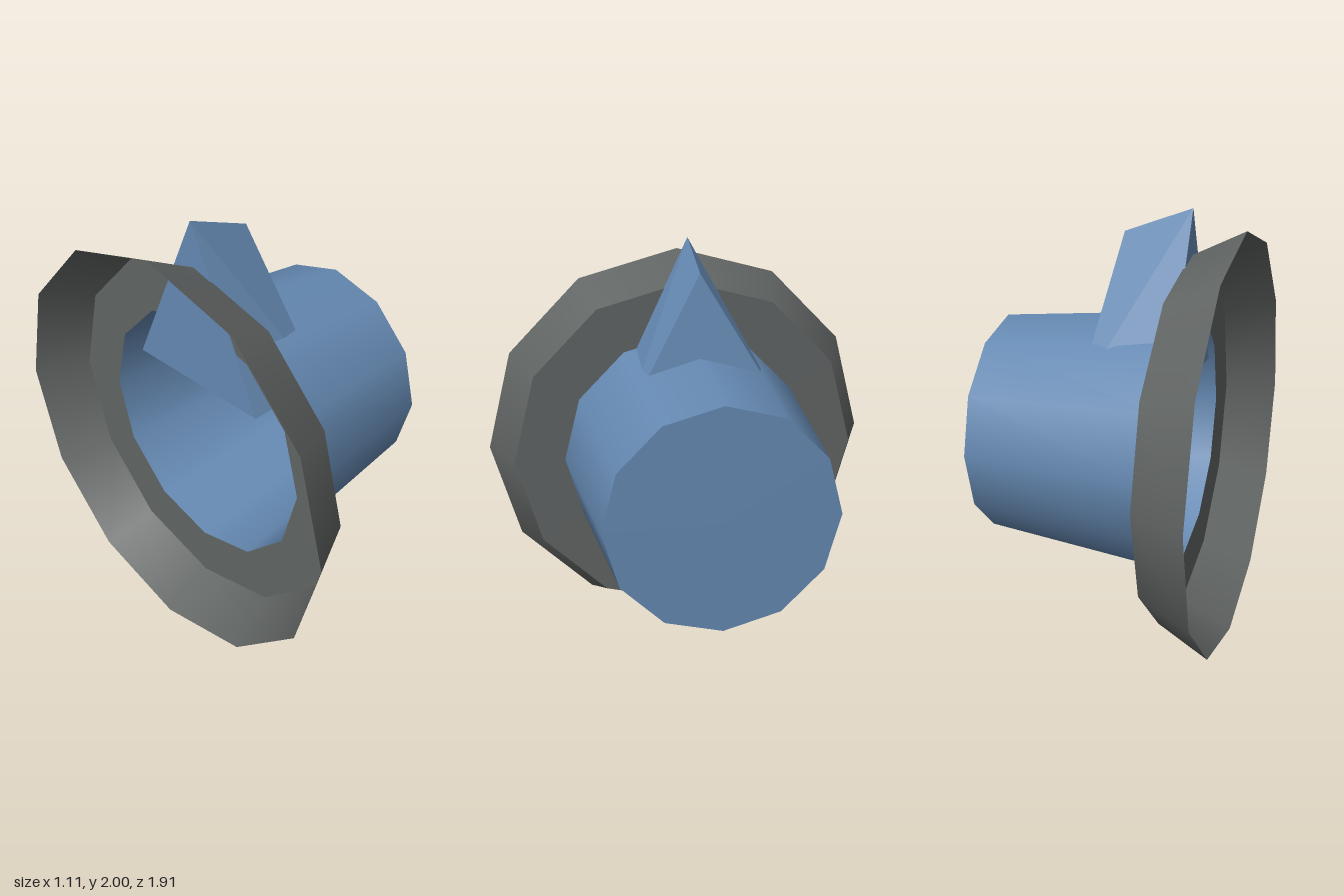
import * as THREE from 'three';

const SIDES = 12;
const CENTRE_Y = 0.957;

export function createModel() {
  const group = new THREE.Group();
  const blue = new THREE.MeshStandardMaterial({ color: 0x6589b2, side: THREE.DoubleSide });
  blue.name = 'steel blue';
  const grey = new THREE.MeshStandardMaterial({ color: 0x606463, side: THREE.DoubleSide });
  grey.name = 'dark grey';

  const add = (name, geometry, material, x = 0, y = CENTRE_Y) => {
    const mesh = new THREE.Mesh(geometry, material);
    mesh.name = name;
    mesh.position.set(x, y, 0);
    group.add(mesh);
  };

  // Open tapered wall lying along x
  const wall = (name, x0, r0, x1, r1, material) => {
    const g = new THREE.CylinderGeometry(r1, r0, x1 - x0, SIDES, 1, true);
    g.rotateZ(-Math.PI / 2);
    add(name, g, material, (x0 + x1) / 2);
  };

  // Flared rim, open towards -x, with a ring joining it to the body
  wall('rim', -0.553, 0.957, -0.313, 0.84, grey);
  add('rimRing', new THREE.RingGeometry(0.598, 0.84, SIDES).rotateY(Math.PI / 2), grey, -0.313);

  // Hollow tapered body with a flat end
  wall('body', -0.313, 0.598, 0.553, 0.514, blue);
  add('bodyEnd', new THREE.CircleGeometry(0.514, SIDES).rotateY(Math.PI / 2), blue, 0.553);

  // Wedge fin on top: back triangle, then front triangle (apex, +z foot, -z foot)
  const p = [
    [-0.322, 2.0, -0.01], [-0.322, 1.24, 0.36], [-0.322, 1.24, -0.378],
    [-0.02, 1.89, -0.01], [0.07, 1.24, 0.355], [0.07, 1.24, -0.4],
  ];
  const faces = [0, 2, 1, 3, 4, 5, 0, 1, 4, 0, 4, 3, 0, 3, 5, 0, 5, 2, 1, 2, 5, 1, 5, 4];
  const fin = new THREE.BufferGeometry();
  fin.setAttribute('position', new THREE.Float32BufferAttribute(faces.flatMap((i) => p[i]), 3));
  fin.computeVertexNormals();
  add('fin', fin, blue, 0, 0);

  return group;
}
